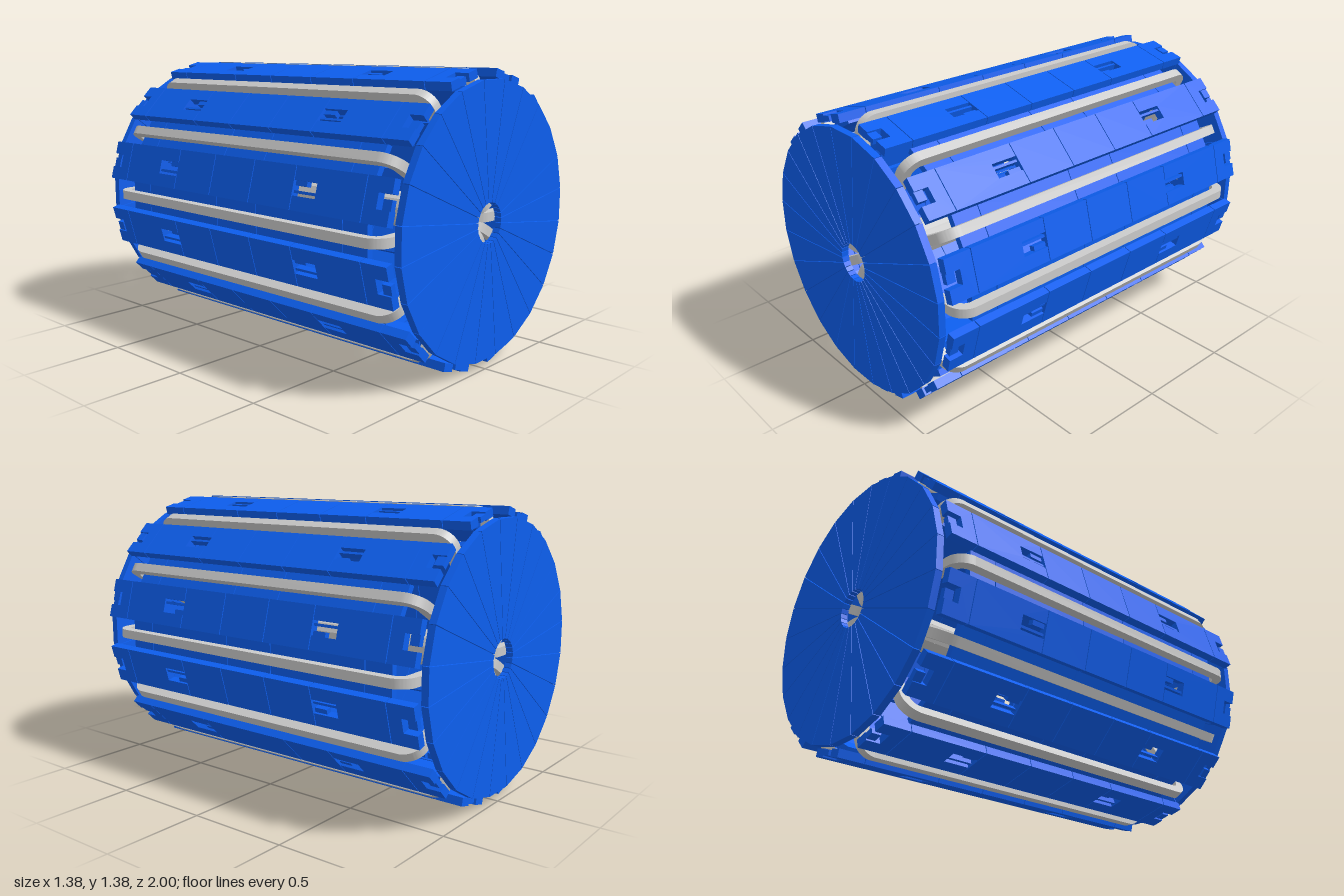
import * as THREE from 'three';
import { toCreasedNormals } from 'three/addons/utils/BufferGeometryUtils.js';

const BLUE = new THREE.MeshStandardMaterial({ color: 0x0d5ff0 });
const GREY = new THREE.MeshStandardMaterial({ color: 0xcccccc });
const AXIS_Y = 0.695;

const polygon = pts => new THREE.Shape(pts.map(p => new THREE.Vector2(...p)));

// Extrudes a (tangent, z) outline radially outward from r0 to r1
function plate(pts, r0, r1) {
  const g = new THREE.ExtrudeGeometry(polygon(pts), { depth: r1 - r0, bevelEnabled: false });
  return g.rotateX(-Math.PI / 2).translate(0, r0, 0);
}

const rect = (u0, u1, v0, v1) => [[u0, v0], [u1, v0], [u1, v1], [u0, v1]];

// Rounded rectangle drawn as a path of (z, radius)
function roundRect(path, z, r0, r1, c) {
  path.moveTo(-z + c, r0);
  path.lineTo(z - c, r0);
  path.absarc(z - c, r0 + c, c, -Math.PI / 2, 0);
  path.lineTo(z, r1 - c);
  path.absarc(z - c, r1 - c, c, 0, Math.PI / 2);
  path.lineTo(-z + c, r1);
  path.absarc(-z + c, r1 - c, c, Math.PI / 2, Math.PI);
  path.lineTo(-z, r0 + c);
  path.absarc(-z + c, r0 + c, c, Math.PI, Math.PI * 1.5);
  return path;
}

// Closed coil running along the outside and back through the bore
function coilGeometry() {
  const w = 0.045;
  const shape = roundRect(new THREE.Shape(), 0.92, 0.036, 0.692, 0.09);
  shape.holes.push(roundRect(new THREE.Path(), 0.872, 0.084, 0.645, 0.042));
  const g = new THREE.ExtrudeGeometry(shape, { depth: w, bevelEnabled: false, curveSegments: 10 });
  return toCreasedNormals(g.rotateY(-Math.PI / 2).translate(w / 2, 0, 0), 0.6);
}

// Outer cover pieces, split by fine seams
function coverGeometries() {
  const W = 0.1, r0 = 0.65, r1 = 0.69;
  const list = [plate(rect(-W, W, -0.137, 0.137), r0, r1)];
  for (const s of [-1, 1]) {
    const add = (pts, a = r0, b = r1) => list.push(plate(pts.map(([u, v]) => [u, v * s]), a, b));
    add(rect(-W, W, 0.141, 0.408));
    // piece with a window and the bars inside it
    add([[-W, 0.412], [-0.035, 0.412], [-0.035, 0.55], [0.035, 0.55],
      [0.035, 0.412], [W, 0.412], [W, 0.818], [-W, 0.818]]);
    add(rect(-0.022, -0.01, 0.412, 0.55), r0, r1 - 0.008);
    add(rect(0.012, 0.035, 0.412, 0.48), r0, r1 - 0.012);
    // notched end with a short finger
    add([[-W, 0.822], [W, 0.822], [W, 0.96], [0.035, 0.96], [0.035, 0.89],
      [-0.035, 0.89], [-0.035, 0.96], [-W, 0.96]]);
    add(rect(-0.035, 0.012, 0.915, 0.96), r0 + 0.005, r1 - 0.008);
  }
  return list;
}

// Plates under the coils, set between the covers
function innerGeometries() {
  const W = 0.082, r0 = 0.61, r1 = 0.642;
  const spans = [[-0.82, -0.682], [-0.678, -0.142], [-0.138, 0.138], [0.142, 0.678], [0.682, 0.82]];
  return spans.map(([a, b]) => plate(rect(-W, W, a, b), r0, r1));
}

// One of the 24 wedges of an end disc
function wedgeGeometry() {
  const a = 0.095, b = 0.645, t = Math.tan(Math.PI / 24), gap = 0.0015;
  const shape = polygon([[-a * t + gap, a], [a * t - gap, a], [b * t - gap, b], [-b * t + gap, b]]);
  return new THREE.ExtrudeGeometry(shape, { depth: 0.035, bevelEnabled: false });
}

// Repeats a part around the axis
function around(parent, name, geometries, material, count, offset = 0, z = 0) {
  for (let i = 0; i < count; i++) {
    const part = new THREE.Group();
    part.name = name + (i + 1);
    for (const g of geometries) {
      const m = new THREE.Mesh(g, material);
      m.name = name + 'Piece';
      part.add(m);
    }
    part.rotation.z = offset + (i / count) * Math.PI * 2;
    part.position.z = z;
    parent.add(part);
  }
}

export function createModel() {
  const model = new THREE.Group();
  model.name = 'coiledDrum';
  const drum = new THREE.Group();
  drum.name = 'drum';
  drum.position.y = AXIS_Y;
  model.add(drum);

  around(drum, 'coil', [coilGeometry()], GREY, 12);
  around(drum, 'innerPlate', innerGeometries(), BLUE, 12);
  around(drum, 'coverPanel', coverGeometries(), BLUE, 12, Math.PI / 12);
  const wedge = [wedgeGeometry()];
  around(drum, 'frontDiscWedge', wedge, BLUE, 24, 0, 0.965);
  around(drum, 'backDiscWedge', wedge, BLUE, 24, 0, -1);
  return model;
}
